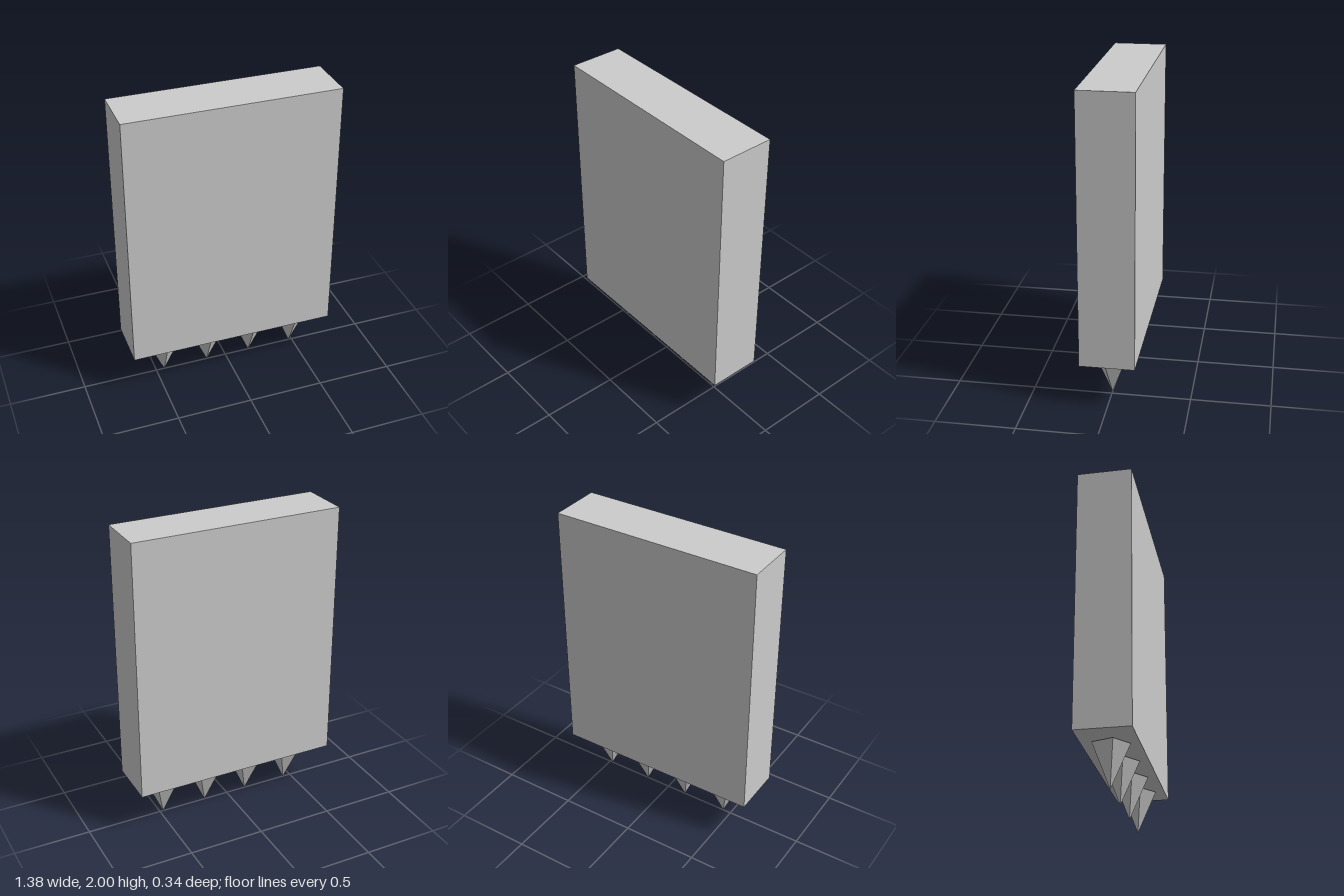
import * as THREE from 'three';

export function createModel() {
  const group = new THREE.Group();
  const material = new THREE.MeshStandardMaterial({ color: 0xcccccc, flatShading: true });

  function add(name, geometry, x, y, z) {
    const mesh = new THREE.Mesh(geometry, material);
    mesh.name = name;
    mesh.position.set(x, y, z);
    group.add(mesh);
  }

  // Upright slab
  const bottom = 0.28;
  add('slab', new THREE.BoxGeometry(1.38, 2 - bottom, 0.345), 0, (2 + bottom) / 2, 0);

  // Row of five-sided spikes pointing down, one corner facing the front
  const spikeHeight = 0.27;
  const spike = new THREE.CylinderGeometry(0.12, 0, spikeHeight, 5);
  for (let i = 0; i < 4; i++) {
    add('spike' + (i + 1), spike, -0.444 + i * 0.307, spikeHeight / 2, 0);
  }

  return group;
}
